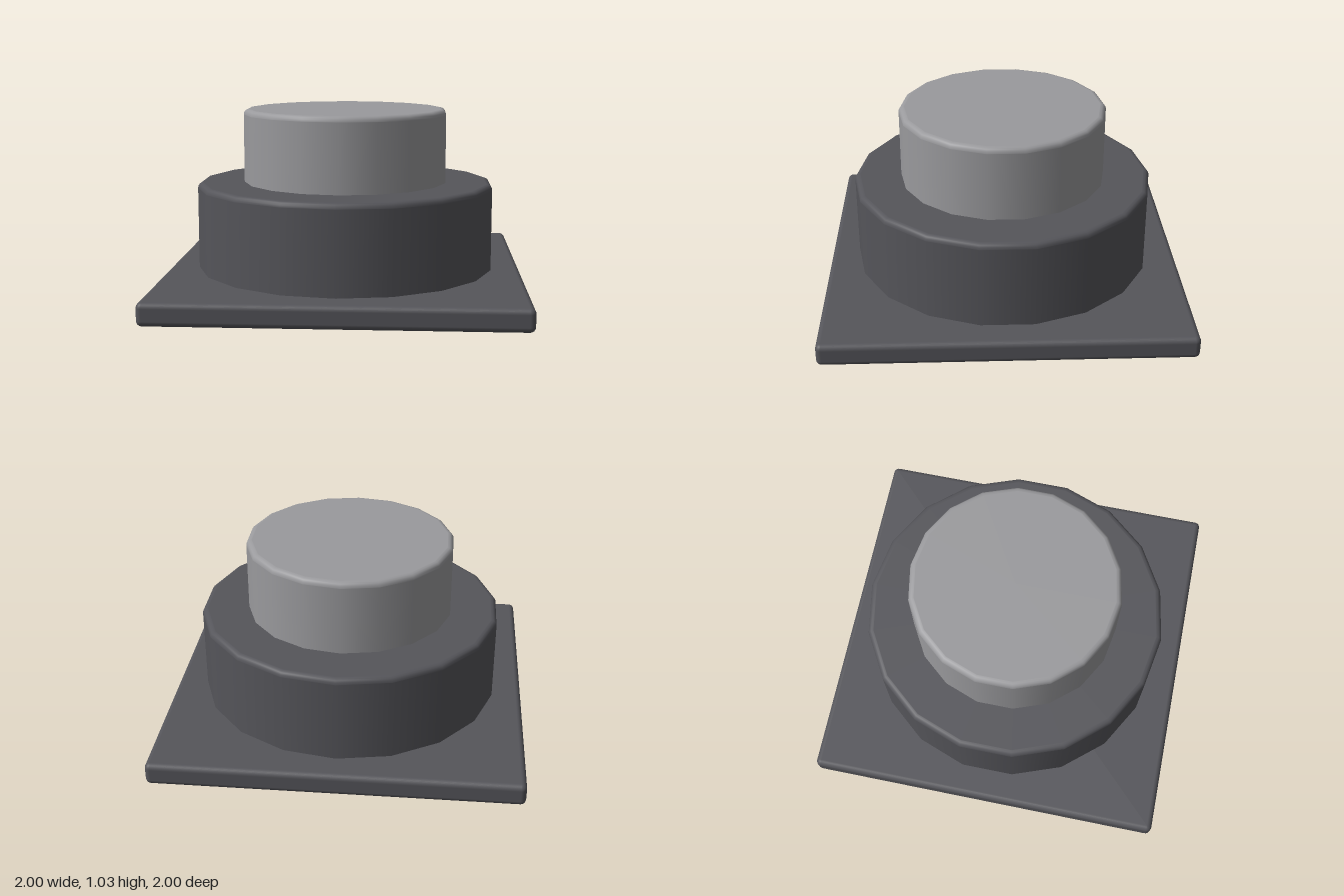
import * as THREE from 'three';
import { RoundedBoxGeometry } from 'three/addons/geometries/RoundedBoxGeometry.js';

const SIDES = 18;
const BEVEL = 0.03;

// Upright faceted drum with a rounded top rim and closed ends
function drum(name, radius, bottom, top, material) {
  const profile = [
    new THREE.Vector2(0, bottom),
    new THREE.Vector2(radius - 0.002, bottom),
    new THREE.Vector2(radius, bottom + 0.002),
    new THREE.Vector2(radius, top - BEVEL - 0.002),
  ];
  const steps = 4;
  for (let i = 0; i <= steps; i++) {
    const a = (i / steps) * Math.PI / 2;
    profile.push(new THREE.Vector2(
      radius - BEVEL + BEVEL * Math.cos(a),
      top - BEVEL + BEVEL * Math.sin(a)
    ));
  }
  profile.push(new THREE.Vector2(radius - BEVEL - 0.002, top), new THREE.Vector2(0, top));
  const mesh = new THREE.Mesh(new THREE.LatheGeometry(profile, SIDES), material);
  mesh.name = name;
  return mesh;
}

export function createModel() {
  const group = new THREE.Group();
  group.name = 'pushButton';
  const dark = new THREE.MeshStandardMaterial({ color: 0x55555a });
  const light = new THREE.MeshStandardMaterial({ color: 0x9a9a9d });

  // Square mounting plate with softened edges
  const plate = new THREE.Mesh(new RoundedBoxGeometry(2, 0.125, 2, 3, BEVEL), dark);
  plate.name = 'basePlate';
  plate.position.y = 0.0625;
  group.add(plate);

  // Wide housing and the cap standing on it
  group.add(drum('housing', 0.845, 0.06, 0.615, dark));
  group.add(drum('buttonCap', 0.58, 0.5, 1.03, light));
  return group;
}
